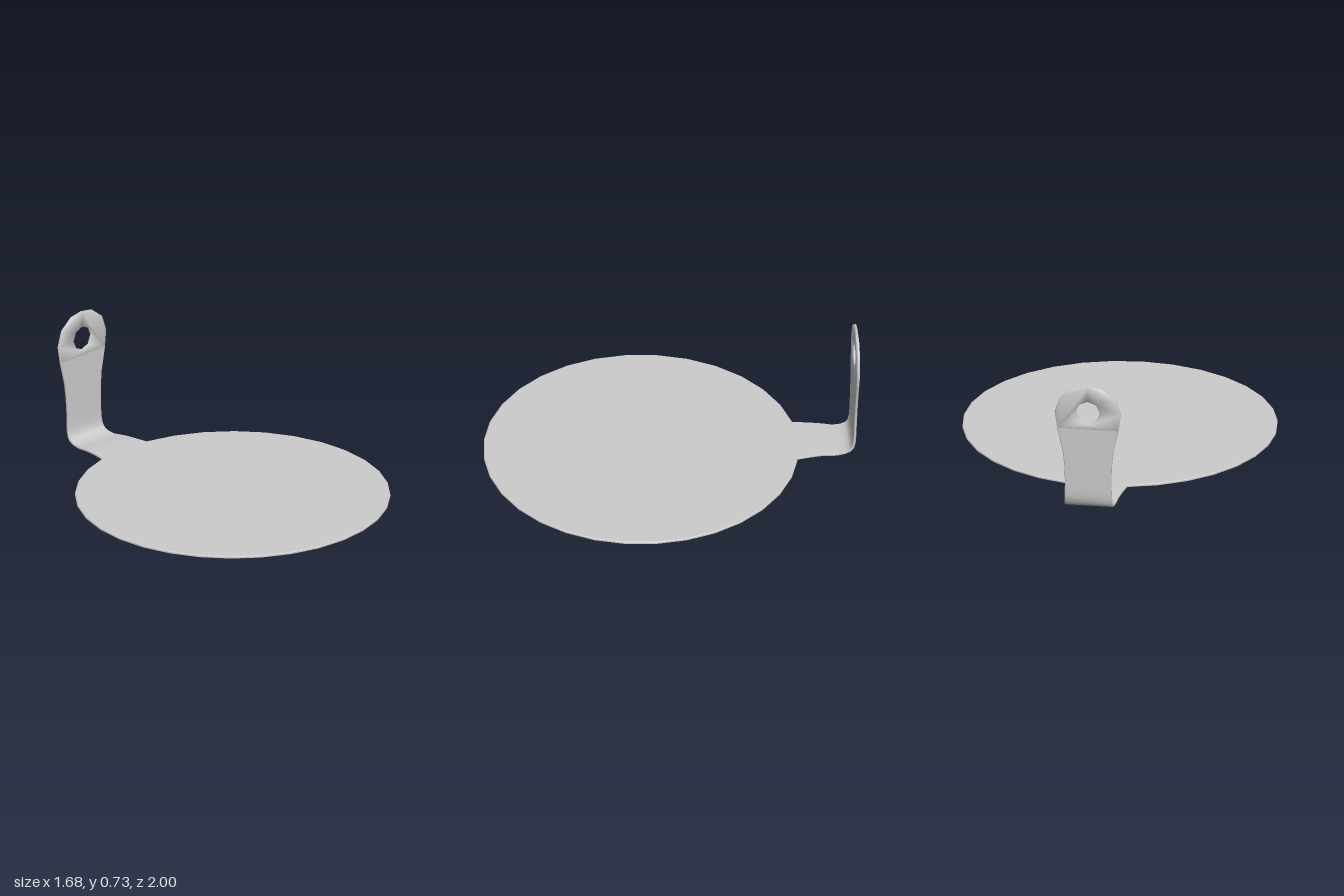
import * as THREE from 'three';
import { toCreasedNormals } from 'three/addons/utils/BufferGeometryUtils.js';

const HALF = 0.0075; // half the sheet thickness

// Handle strip stations: z, y of the centre line, half width
const STRIP = [
  [-0.64, 0.02, 0.168], [-0.665, 0.02, 0.165], [-0.73, 0.02, 0.153], [-0.79, 0.0185, 0.144],
  [-0.83, 0.0145, 0.139], [-0.875, 0.0085, 0.134], [-0.92, 0.0145, 0.131], [-0.947, 0.027, 0.13],
  [-0.962, 0.046, 0.129], [-0.97, 0.08, 0.127], [-0.973, 0.12, 0.126], [-0.975, 0.18, 0.125],
  [-0.978, 0.265, 0.128], [-0.981, 0.35, 0.137], [-0.983, 0.42, 0.153], [-0.985, 0.48, 0.166],
];

// Sweeps a flat strip with softened edges along the stations
function stripGeometry(stations) {
  const pos = [], idx = [];
  const sides = 8, e = 0.005;
  stations.forEach(([z, y, w], i) => {
    const a = stations[Math.max(i - 1, 0)];
    const b = stations[Math.min(i + 1, stations.length - 1)];
    const len = Math.hypot(b[0] - a[0], b[1] - a[1]);
    const nz = (b[1] - a[1]) / len, ny = -(b[0] - a[0]) / len;
    const h = i < 2 ? HALF * 0.9 : HALF;
    const loop = [
      [w, -h / 2], [w, h / 2], [w - e, h], [e - w, h],
      [-w, h / 2], [-w, -h / 2], [e - w, -h], [w - e, -h],
    ];
    for (const [x, n] of loop) pos.push(x, y + n * ny, z + n * nz);
    if (i === 0) return;
    for (let k = 0; k < sides; k++) {
      const p = (i - 1) * sides + k, q = (i - 1) * sides + (k + 1) % sides;
      idx.push(p, q + sides, q, p, p + sides, q + sides);
    }
  });
  const g = new THREE.BufferGeometry();
  g.setAttribute('position', new THREE.Float32BufferAttribute(pos, 3));
  g.setIndex(idx);
  g.computeVertexNormals();
  return g;
}

// Rounded handle end with an octagonal hanging hole
function headGeometry() {
  const right = [[0.165, 0.475], [0.178, 0.572], [0.149, 0.657], [0.076, 0.715]];
  const left = right.map(([x, y]) => [-x, y]).reverse();
  const outline = [...right, [0, 0.727], ...left].map(([x, y]) => new THREE.Vector2(x, y));
  const shape = new THREE.Shape(outline);
  const hole = [];
  for (let i = 0; i < 8; i++) {
    const a = -i * Math.PI / 4;
    hole.push(new THREE.Vector2(0.065 * Math.cos(a), 0.574 + 0.065 * Math.sin(a)));
  }
  shape.holes.push(new THREE.Path(hole));
  const bevel = 0.004;
  const g = new THREE.ExtrudeGeometry(shape, {
    depth: 2 * (HALF - bevel), bevelThickness: bevel, bevelSize: bevel,
    bevelOffset: -bevel, bevelSegments: 1,
  });
  g.translate(0, -0.475, bevel - HALF);
  return toCreasedNormals(g, 0.9);
}

export function createModel() {
  const model = new THREE.Group();
  const material = new THREE.MeshStandardMaterial({ color: 0xcccccc });
  const add = (name, geometry, parent) => {
    const mesh = new THREE.Mesh(geometry, material);
    mesh.name = name;
    parent.add(mesh);
    return mesh;
  };

  // Thin round plate with a softened rim
  const profile = [[0, -HALF], [0.834, -HALF], [0.84, -HALF / 2], [0.84, HALF / 2], [0.834, HALF], [0, HALF]]
    .map(([r, y]) => new THREE.Vector2(r, y));
  const plate = add('plate', toCreasedNormals(new THREE.LatheGeometry(profile, 32), 0.5), model);
  plate.position.set(0, 0.02, 0.16);

  // Upturned handle at the back
  const handle = new THREE.Group();
  handle.name = 'handle';
  model.add(handle);
  add('handleStrip', stripGeometry(STRIP), handle);
  const head = add('handleHead', headGeometry(), handle);
  head.position.set(0, 0.475, -0.985);
  head.rotation.x = -0.031;

  return model;
}
